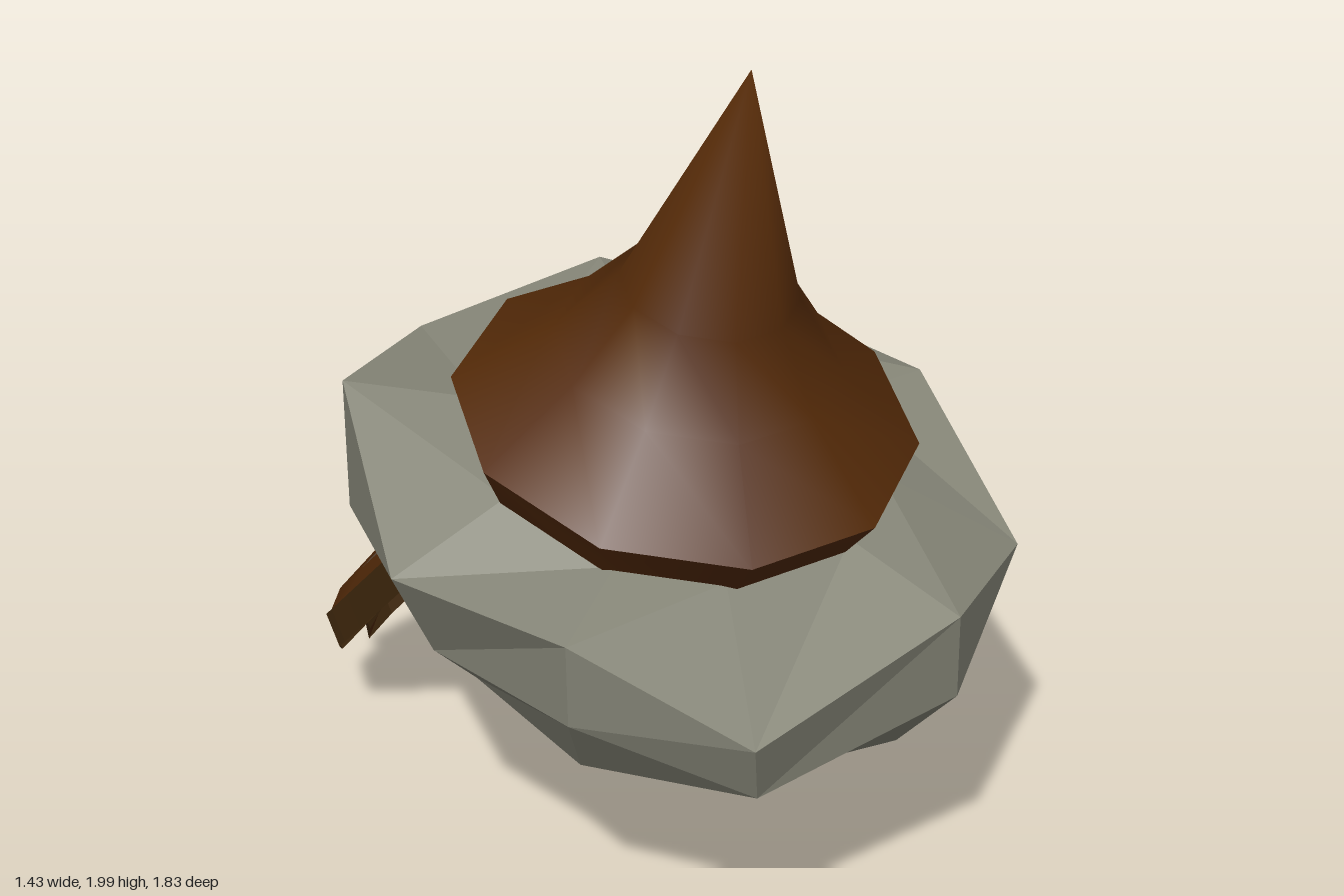
import * as THREE from 'three';
import { toCreasedNormals } from 'three/addons/utils/BufferGeometryUtils.js';

const TILT = 0.249;
const HAT = new THREE.Vector3(0.02, 1.107, 0.215);

function soup(points) {
  const g = new THREE.BufferGeometry();
  g.setAttribute('position', new THREE.Float32BufferAttribute(points.flatMap(p => [p.x, p.y, p.z]), 3));
  g.computeVertexNormals();
  return g;
}

function fan(out, pts) {
  for (let i = 1; i < pts.length - 1; i++) out.push(pts[0], pts[i], pts[i + 1]);
}

// Point on a circle round the tilted hat axis
function hatPoint(angle, radius, height) {
  return new THREE.Vector3(radius * Math.sin(angle), height, radius * Math.cos(angle))
    .applyAxisAngle(new THREE.Vector3(1, 0, 0), TILT).add(HAT);
}

// Rough faceted brim: upper outer, lower outer and bottom corner per station
function brimGeometry() {
  const stations = [
    [0.29, 0.81, 0.88, 0.30, 0.60, 0.87, 0.23, 0.445, 0.75],
    [0.645, 0.77, 0.645, 0.58, 0.58, 0.57, 0.47, 0.51, 0.46],
    [0.715, 1.0, 0.18, 0.705, 0.75, 0.14, 0.58, 0.56, 0.14],
    [0.62, 1.0, -0.375, 0.60, 0.73, -0.34, 0.45, 0.60, -0.20],
    [0.25, 1.155, -0.485, 0.24, 0.69, -0.49, 0.20, 0.63, -0.36],
    [-0.20, 1.055, -0.575, -0.20, 0.69, -0.49, -0.20, 0.63, -0.35],
    [-0.54, 1.10, -0.35, -0.54, 0.78, -0.34, -0.42, 0.61, -0.20],
    [-0.72, 0.885, 0.165, -0.61, 0.66, 0.15, -0.50, 0.55, 0.15],
    [-0.56, 0.885, 0.615, -0.545, 0.675, 0.60, -0.45, 0.49, 0.50],
    [-0.28, 0.685, 0.915, -0.24, 0.53, 0.87, -0.20, 0.475, 0.72],
  ];
  const sections = stations.map(s => {
    const angle = Math.atan2(s[0], s[2] - 0.17);
    const ring = [0, 3, 6].map(k => new THREE.Vector3(s[k], s[k + 1], s[k + 2]));
    return [...ring, hatPoint(angle, 0.48, -0.45), hatPoint(angle, 0.46, -0.1)];
  });
  const tris = [];
  sections.forEach((a, i) => {
    const b = sections[(i + 1) % sections.length];
    a.forEach((p, k) => {
      const n = (k + 1) % a.length;
      fan(tris, [a[n], b[n], b[k], p]);
    });
  });
  return soup(tris);
}

// Curved mask: x across, v down the panel, w outward from it
const BOW = [[0, 0.253], [0.13, 0.248], [0.27, 0.21], [0.42, 0.135], [0.445, 0.1], [0.49, 0.08]];
function bow(x) {
  const ax = Math.min(Math.abs(x), 0.49);
  const i = Math.max(1, BOW.findIndex(b => b[0] >= ax));
  const [x0, w0] = BOW[i - 1], [x1, w1] = BOW[i];
  return w0 + (w1 - w0) * (ax - x0) / (x1 - x0);
}

// The rim thins to nothing towards the fang tips
function maskPoint([x, v], depth) {
  const taper = 1 - THREE.MathUtils.clamp((v - 0.72) / 0.265, 0, 1);
  const w = bow(x) - 0.42 * Math.max(0, v - 0.6) - depth * taper;
  return new THREE.Vector3(0.02 + x, 0.65 - 0.7 * v + 0.714 * w, -0.17 - 0.714 * v - 0.7 * w);
}

// Eye floor, smaller than its opening so the socket walls slope
function socketPoint([x, v]) {
  const ax = 0.275 + (Math.abs(x) - 0.275) * 0.85;
  return maskPoint([Math.sign(x) * ax, 0.33 + (v - 0.33) * 0.75], 0.05);
}

function maskCells() {
  const column = (x, top, bend, bottom, endX = x) =>
    [[x, top], [x, 0.255], [x, 0.405], [x, bend], [endX, bottom]];
  const columns = [
    column(0, 0.186, 0.58, 0.705),
    column(0.13, 0.18, 0.58, 0.73),
    column(0.27, 0.15, 0.58, 0.70),
    column(0.42, 0.08, 0.56, 0.63, 0.445),
    [[0.46, 0], [0.474, 0.255], [0.483, 0.405], [0.49, 0.5], [0.49, 0.54]],
  ];
  const panel = [], eyes = [];
  const add = (list, cell) => list.push(cell, cell.map(([x, v]) => [-x, v]).reverse());
  for (let c = 0; c < 4; c++) {
    for (let r = 0; r < 4; r++) {
      const a = columns[c], b = columns[c + 1];
      const isEye = r === 1 && (c === 1 || c === 2);
      add(isEye ? eyes : panel, [a[r], b[r], b[r + 1], a[r + 1]]);
    }
  }
  // Fangs below the lower edge
  const inner = [0.185, 0.84], outer = [0.258, 0.84];
  add(panel, [columns[1][4], columns[2][4], outer, inner]);
  add(panel, [inner, outer, [0.205, 0.985]]);
  return { panel, eyes };
}

// Open-backed shell: outer skin, rim walls along open edges, and eye floors
function maskGeometries() {
  const { panel, eyes } = maskCells();
  const rimPoint = p => maskPoint(p, 0.087);
  const faces = [], edges = [], sockets = [];
  const key = (a, b) => [...a, ...b].map(n => Math.round(n * 1000) + 0).join();
  const edgeKeys = cells => new Set(cells.flatMap(cell => cell.map((p, i) => key(p, cell[(i + 1) % cell.length]))));
  const panelEdges = edgeKeys(panel), eyeEdges = edgeKeys(eyes);
  for (const cell of panel) {
    fan(faces, cell.map(p => maskPoint(p, 0)));
    cell.forEach((p, i) => {
      const q = cell[(i + 1) % cell.length];
      if (panelEdges.has(key(q, p))) return;
      const deep = eyeEdges.has(key(q, p)) ? socketPoint : rimPoint;
      fan(edges, [deep(p), deep(q), maskPoint(q, 0), maskPoint(p, 0)]);
    });
  }
  for (const cell of eyes) fan(sockets, cell.map(socketPoint));
  return { faces: toCreasedNormals(soup(faces), 0.6), edges: soup(edges), sockets: soup(sockets) };
}

export function createModel() {
  const model = new THREE.Group();
  const material = (name, color, side = THREE.FrontSide) =>
    Object.assign(new THREE.MeshStandardMaterial({ color, side }), { name });
  const leather = material('brown leather', 0x542a08, THREE.DoubleSide);
  const dark = material('dark brown', 0x3d260c, THREE.DoubleSide);
  const fur = material('grey fur', 0x868678);
  const add = (parent, name, geometry, mat) => {
    const mesh = new THREE.Mesh(geometry, mat);
    mesh.name = name;
    parent.add(mesh);
  };

  // Pointed crown with a turned-under rim
  const crown = new THREE.Group();
  crown.name = 'crown';
  crown.position.copy(HAT);
  crown.rotation.x = TILT;
  model.add(crown);
  const lathe = pts => new THREE.LatheGeometry(pts.map(p => new THREE.Vector2(...p)), 10, Math.PI / 2);
  const cone = lathe([[0.53, 0], [0.328, 0.177], [0.2, 0.355], [0, 0.921]]);
  // One shared smooth normal at the tip
  for (let i = 3; i < cone.attributes.normal.count; i += 4) cone.attributes.normal.setXYZ(i, 0, 1, 0);
  add(crown, 'crownCone', cone, leather);
  add(crown, 'crownRim', toCreasedNormals(lathe([[0, -0.124], [0.465, -0.124], [0.53, 0]]), 0.7), leather);

  add(model, 'furBrim', brimGeometry(), fur);

  // Mask hanging behind the brim
  const mask = new THREE.Group();
  mask.name = 'mask';
  model.add(mask);
  const { faces, edges, sockets } = maskGeometries();
  add(mask, 'maskPanel', faces, leather);
  add(mask, 'maskEdges', edges, dark);
  add(mask, 'eyeSockets', sockets, dark);
  return model;
}
